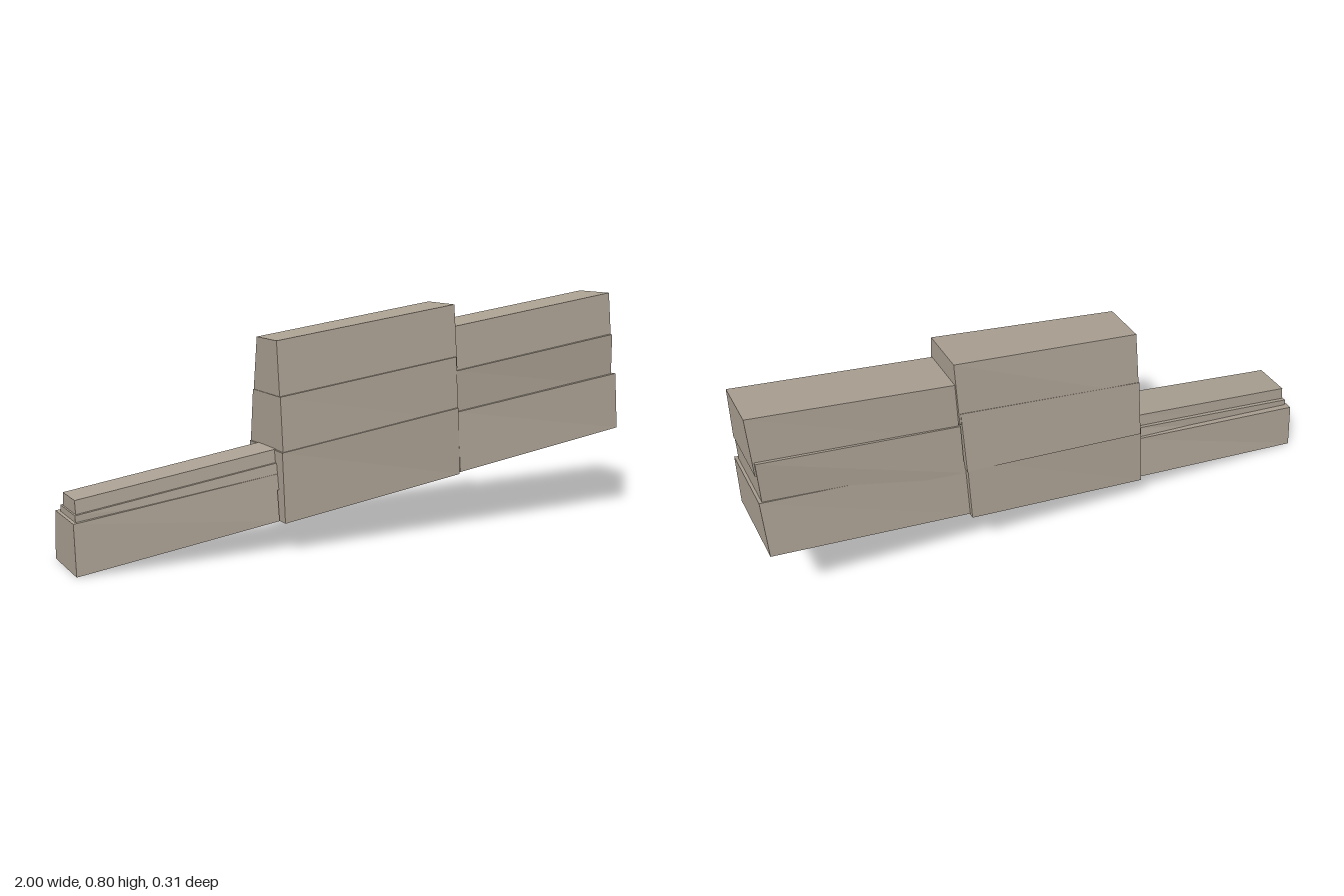
import * as THREE from 'three';

// Cross-section at one end of a stone: bottom y, top y, then z of the
// bottom front, bottom back, top front and top back corners.
const corners = (x, [yb, yt, bf, bb, tf, tb]) => [
  [x, yb, bf], [x, yb, bb], [x, yt, tb], [x, yt, tf],
];

// Tapered, slightly twisted stone spanning two end sections
function stoneGeometry(x0, x1, left, right) {
  const L = corners(x0, left), R = corners(x1, right);
  const pos = [];
  const quad = (a, b, c, d) => pos.push(...a, ...b, ...c, ...a, ...c, ...d);
  for (let i = 0; i < 4; i++) {
    const j = (i + 1) % 4;
    quad(L[i], L[j], R[j], R[i]);
  }
  quad(L[3], L[2], L[1], L[0]);
  quad(R[0], R[1], R[2], R[3]);
  const g = new THREE.BufferGeometry();
  g.setAttribute('position', new THREE.Float32BufferAttribute(pos, 3));
  g.computeVertexNormals();
  return g;
}

// Each wall section climbs to the right; its courses run from bottom to top
const sections = [
  { name: 'lowSection', courses: [
    [-1, -0.335, [0, 0.16, 0.103, -0.14, 0.085, -0.122], [0.1, 0.25, 0.113, -0.14, 0.09, -0.11]],
    [-0.99, -0.33, [0.1, 0.182, 0.078, -0.106, 0.07, -0.098], [0.2, 0.285, 0.098, -0.115, 0.082, -0.092]],
    [-0.985, -0.325, [0.14, 0.225, 0.066, -0.09, 0.052, -0.08], [0.23, 0.328, 0.082, -0.09, 0.066, -0.074]],
  ] },
  { name: 'tallSection', courses: [
    [-0.33, 0.327, [0.098, 0.325, 0.147, -0.155, 0.128, -0.135], [0.198, 0.425, 0.15, -0.155, 0.137, -0.13]],
    [-0.325, 0.33, [0.3, 0.502, 0.125, -0.142, 0.105, -0.115], [0.385, 0.598, 0.132, -0.137, 0.115, -0.105]],
    [-0.323, 0.336, [0.46, 0.68, 0.1, -0.12, 0.075, -0.083], [0.56, 0.775, 0.112, -0.108, 0.088, -0.082]],
  ] },
  { name: 'highSection', courses: [
    [0.328, 1, [0.205, 0.41, 0.153, -0.14, 0.13, -0.115], [0.308, 0.505, 0.157, -0.135, 0.14, -0.108]],
    [0.333, 0.99, [0.37, 0.55, 0.122, -0.122, 0.115, -0.105], [0.46, 0.647, 0.127, -0.105, 0.127, -0.1]],
    [0.337, 0.995, [0.5, 0.7, 0.113, -0.105, 0.088, -0.085], [0.6, 0.796, 0.118, -0.096, 0.095, -0.073]],
  ] },
];

export function createModel() {
  const model = new THREE.Group();
  model.name = 'steppedStoneWall';
  const stone = new THREE.MeshStandardMaterial({ color: 0xaca294 });
  stone.name = 'stone';
  const courseNames = ['baseStone', 'middleStone', 'capStone'];

  for (const { name, courses } of sections) {
    const section = new THREE.Group();
    section.name = name;
    courses.forEach((course, i) => {
      const mesh = new THREE.Mesh(stoneGeometry(...course), stone);
      mesh.name = courseNames[i];
      section.add(mesh);
    });
    model.add(section);
  }
  return model;
}
